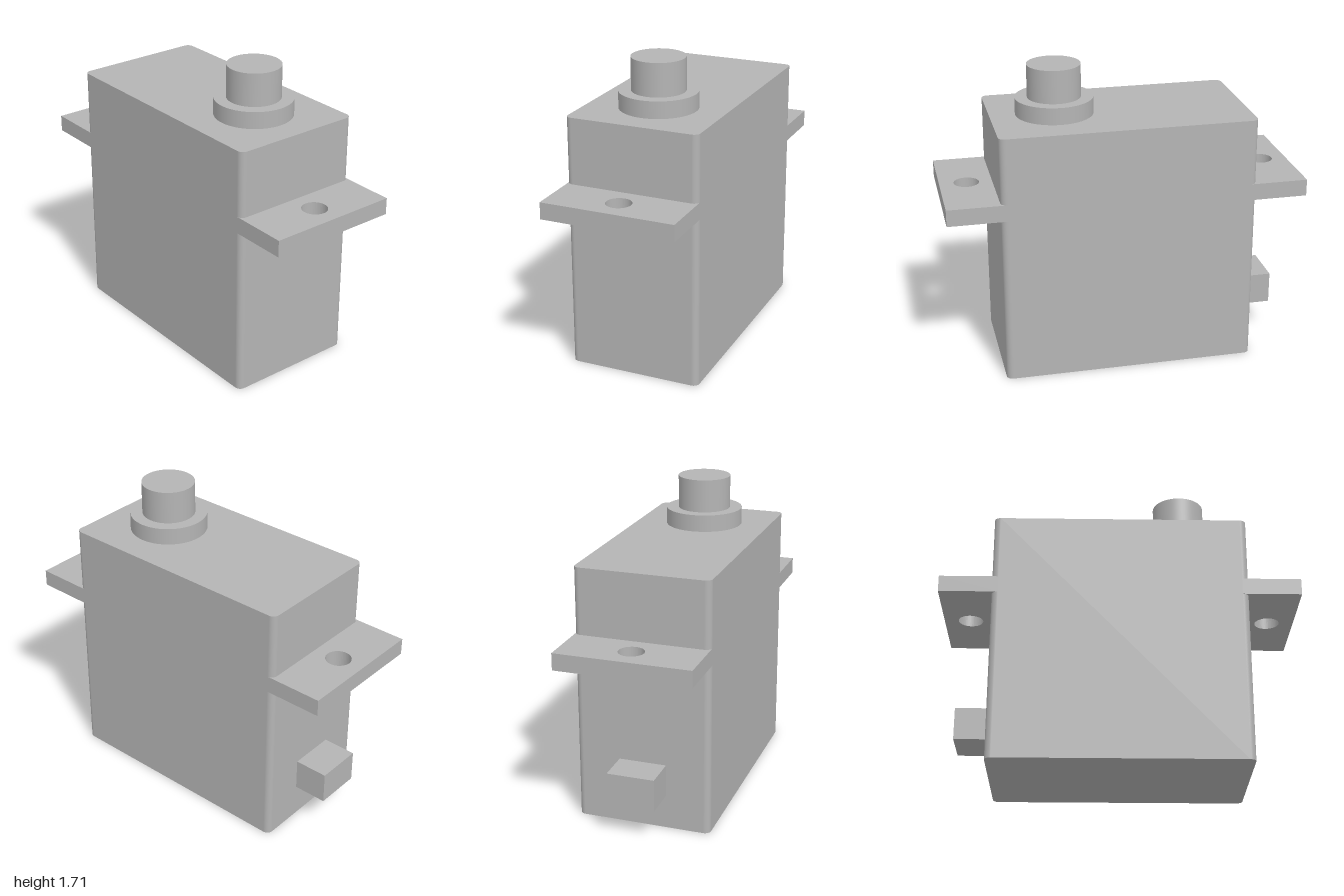
import * as THREE from 'three';

const grey = new THREE.MeshStandardMaterial({ color: 0xb4b4b4 });
grey.name = 'plain grey';

const BODY = { x: 0.708, z: 0.376, top: 1.425, radius: 0.035 };

function add(parent, name, geometry, x = 0, y = 0, z = 0) {
  const mesh = new THREE.Mesh(geometry, grey);
  mesh.name = name;
  mesh.position.set(x, y, z);
  parent.add(mesh);
  return mesh;
}

// Extrudes a plan outline upwards, from y = 0 to y = height
function extrudeUp(shape, height) {
  return new THREE.ExtrudeGeometry(shape, { depth: height, bevelEnabled: false, curveSegments: 24 })
    .rotateX(-Math.PI / 2);
}

// Rectangle with rounded corners, centred on the origin
function roundedPlan(a, b, r) {
  const s = new THREE.Shape();
  s.absarc(a - r, b - r, r, 0, Math.PI / 2);
  s.absarc(-a + r, b - r, r, Math.PI / 2, Math.PI);
  s.absarc(-a + r, -b + r, r, Math.PI, Math.PI * 1.5);
  s.absarc(a - r, -b + r, r, Math.PI * 1.5, Math.PI * 2);
  s.closePath();
  return s;
}

// Mounting ear with a screw hole, reaching into the rounded case edge
function earPlan(side) {
  const inner = side * (BODY.x - BODY.radius), outer = side;
  const x0 = Math.min(inner, outer), x1 = Math.max(inner, outer);
  const s = new THREE.Shape();
  s.moveTo(x0, -BODY.z);
  s.lineTo(x1, -BODY.z);
  s.lineTo(x1, BODY.z);
  s.lineTo(x0, BODY.z);
  s.closePath();
  const hole = new THREE.Path();
  hole.absarc(side * 0.85, 0, 0.07, 0, Math.PI * 2, true);
  s.holes.push(hole);
  return s;
}

export function createModel() {
  const model = new THREE.Group();
  model.name = 'servoMotor';

  // Case with rounded vertical edges
  add(model, 'case', extrudeUp(roundedPlan(BODY.x, BODY.z, BODY.radius), BODY.top));

  // Mounting ears
  add(model, 'leftEar', extrudeUp(earPlan(1), 0.094), 0, 0.961, 0);
  add(model, 'rightEar', extrudeUp(earPlan(-1), 0.094), 0, 0.961, 0);

  // Output collar and shaft
  add(model, 'collar', new THREE.CylinderGeometry(0.216, 0.216, 0.095, 64), 0.35, BODY.top + 0.0475, 0);
  add(model, 'shaft', new THREE.CylinderGeometry(0.148, 0.148, 0.185, 64), 0.35, 1.52 + 0.0925, 0);

  // Cable outlet on the side
  add(model, 'cableOutlet', new THREE.BoxGeometry(0.2, 0.18, 0.264), -0.798, 0.28, 0);

  return model;
}
